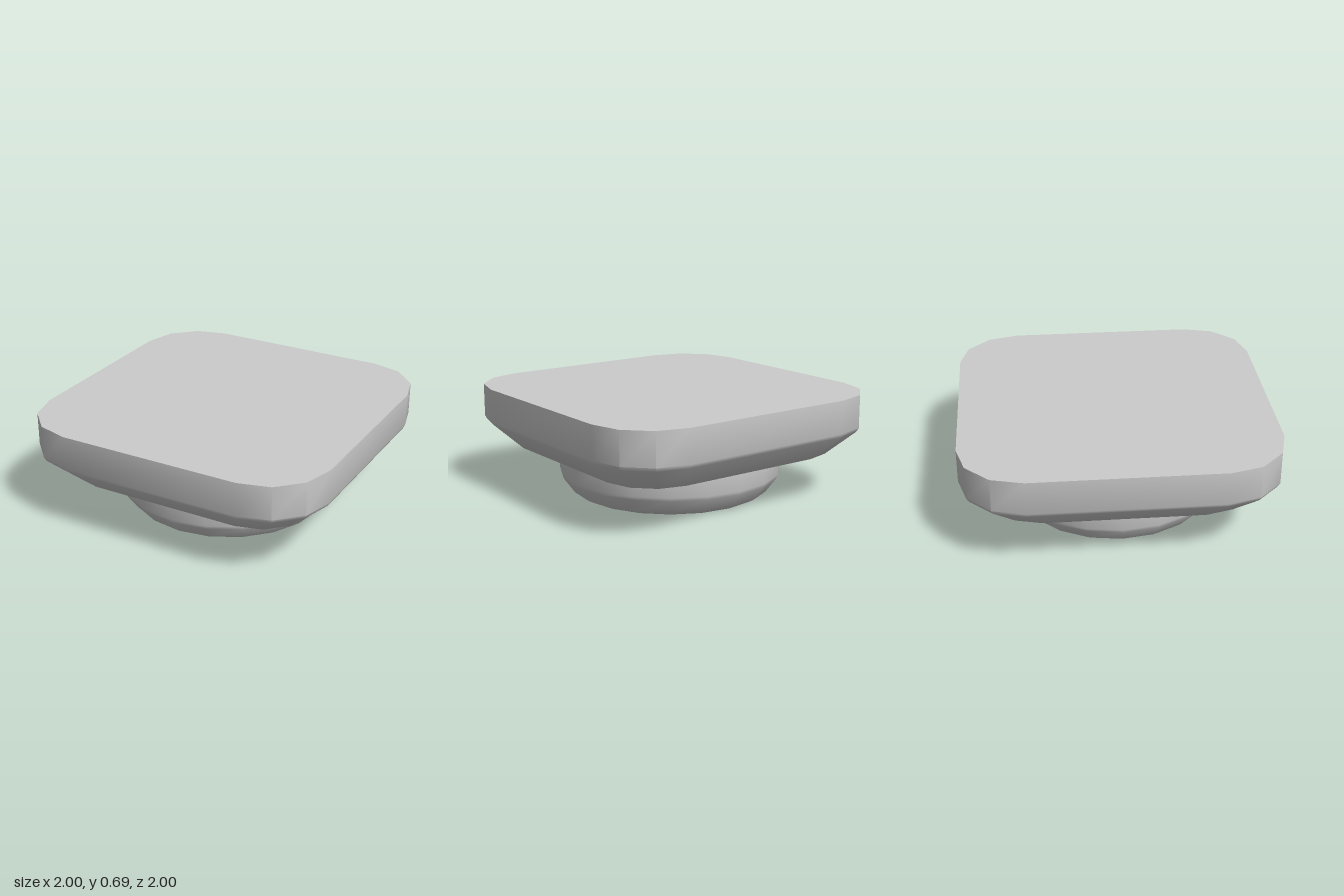
import * as THREE from 'three';
import { toCreasedNormals } from 'three/addons/utils/BufferGeometryUtils.js';

const material = new THREE.MeshStandardMaterial({ color: 0xcccccc });

// Square of half width 1 with rounded corners, three segments per corner.
function roundedSquare(radius, segments) {
  const points = [];
  for (let q = 0; q < 4; q++) {
    const mid = (q + 0.5) * Math.PI / 2;
    const cx = Math.sign(Math.cos(mid)) * (1 - radius);
    const cz = Math.sign(Math.sin(mid)) * (1 - radius);
    for (let s = 0; s <= segments; s++) {
      const a = (q + s / segments) * Math.PI / 2;
      points.push([cx + radius * Math.cos(a), cz + radius * Math.sin(a)]);
    }
  }
  return points;
}

function circle(sides) {
  return Array.from({ length: sides }, (_, i) => {
    const a = i / sides * Math.PI * 2;
    return [Math.cos(a), Math.sin(a)];
  });
}

// Closed solid: the outline scaled at each [scale, y] of the profile, bottom to top.
function loft(name, outline, profile) {
  const n = outline.length, last = profile.length - 1;
  const positions = [], index = [];
  for (const [scale, y] of profile) {
    for (const [x, z] of outline) positions.push(x * scale, y, z * scale);
  }
  const bottom = n * profile.length, top = bottom + 1;
  positions.push(0, profile[0][1], 0, 0, profile[last][1], 0);
  for (let i = 0; i < n; i++) {
    const j = (i + 1) % n;
    for (let r = 0; r < last; r++) {
      const lo = r * n, up = lo + n;
      index.push(lo + i, up + i, lo + j, lo + j, up + i, up + j);
    }
    index.push(bottom, i, j, top, last * n + j, last * n + i);
  }
  const geometry = new THREE.BufferGeometry();
  geometry.setAttribute('position', new THREE.Float32BufferAttribute(positions, 3));
  geometry.setIndex(index);
  const mesh = new THREE.Mesh(toCreasedNormals(geometry, THREE.MathUtils.degToRad(38)), material);
  mesh.name = name;
  return mesh;
}

export function createModel() {
  const model = new THREE.Group();
  model.name = 'pedestal';

  // Round foot with a bevelled lower rim
  model.add(loft('foot', circle(20), [
    [0.62, 0], [0.655, 0.02], [0.725, 0.115], [0.735, 0.14], [0.735, 0.28],
  ]));

  // Rounded square slab, chamfered underneath
  model.add(loft('slab', roundedSquare(0.4, 3), [
    [0.79, 0.275], [0.83, 0.288], [0.988, 0.445], [1, 0.47], [1, 0.685],
  ]));

  return model;
}
